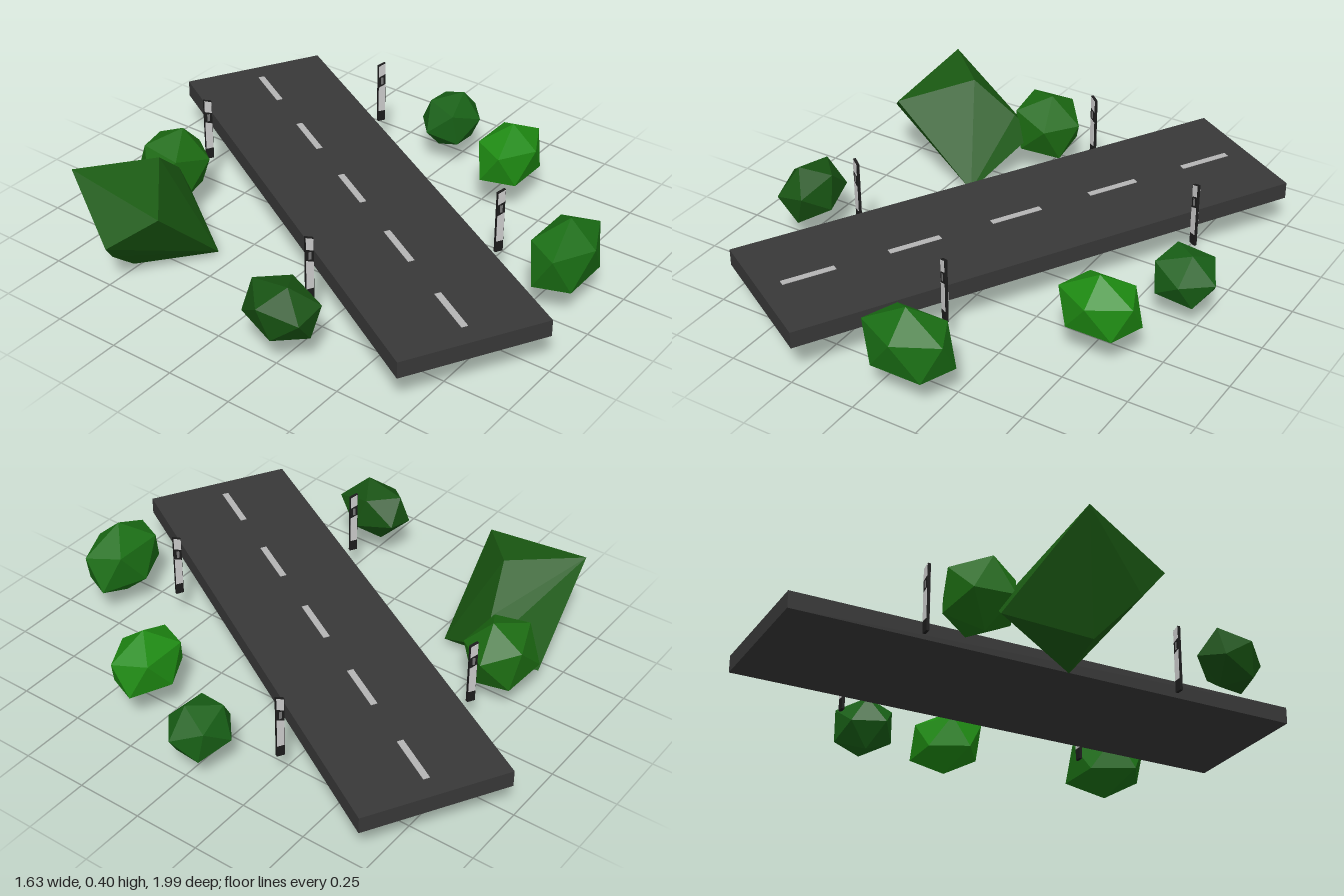
import * as THREE from 'three';
import { ConvexGeometry } from 'three/addons/geometries/ConvexGeometry.js';

const mat = (color) => new THREE.MeshStandardMaterial({ color, flatShading: true });

function add(parent, name, geometry, material, x = 0, y = 0, z = 0) {
  const mesh = new THREE.Mesh(geometry, material);
  mesh.name = name;
  mesh.position.set(x, y, z);
  parent.add(mesh);
  return mesh;
}

// Low-poly bush: a turned icosahedron stretched to fill the box min..max
function bushGeometry(min, max, yaw, tiltX, tiltZ) {
  const g = new THREE.IcosahedronGeometry(1, 0);
  g.rotateZ(Math.PI / 2 - Math.atan((1 + Math.sqrt(5)) / 2)); // one corner straight up
  g.rotateY(yaw).rotateX(tiltX).rotateZ(tiltZ);
  g.computeBoundingBox();
  const size = g.boundingBox.getSize(new THREE.Vector3());
  g.center();
  g.scale(...[0, 1, 2].map((i) => (max[i] - min[i]) / size.getComponent(i)));
  g.translate(...[0, 1, 2].map((i) => (max[i] + min[i]) / 2));
  g.computeVertexNormals();
  return g;
}

// Upright slab between y0 and y1; the top and bottom edges slope up towards +x
function slab(width, depth, y0, y1, slope0 = 0, slope1 = 0) {
  const w = width / 2;
  const s = new THREE.Shape();
  s.moveTo(-w, y0 - slope0);
  s.lineTo(w, y0 + slope0);
  s.lineTo(w, y1 + slope1);
  s.lineTo(-w, y1 - slope1);
  s.closePath();
  return new THREE.ExtrudeGeometry(s, { depth, bevelEnabled: false }).translate(0, 0, -depth / 2);
}

export function createModel() {
  const model = new THREE.Group();
  const black = mat(0x1c1c1c);
  const white = mat(0xdddddd);
  const grey = mat(0x777777);

  // Road slab with its centre line, turned across the scene
  const road = new THREE.Group();
  road.name = 'road';
  road.position.set(0.01, 0, 0);
  road.rotation.y = -Math.PI / 6;
  model.add(road);
  add(road, 'roadSlab', new THREE.BoxGeometry(0.556, 0.064, 1.98), mat(0x383838), 0, 0.177, 0);
  const paint = mat(0xb4b4b4);
  for (let i = -2; i <= 2; i++) {
    add(road, 'laneDash', new THREE.BoxGeometry(0.024, 0.004, 0.2), paint, 0, 0.209, i * 0.404);
  }

  // Roadside marker posts, taller on the side away from the road
  for (const side of [-1, 1]) {
    for (const z of [-0.531, 0.463]) {
      const post = new THREE.Group();
      post.name = 'markerPost';
      post.position.set(side * 0.357, 0, z);
      if (side < 0) post.rotation.y = Math.PI;
      add(post, 'postCore', slab(0.03, 0.011, 0.13, 0.378, 0, 0.005), black);
      add(post, 'postLower', slab(0.027, 0.014, 0.175, 0.285, 0, 0.005), white);
      add(post, 'postBand', slab(0.027, 0.013, 0.285, 0.33, 0.005, 0.005), black);
      add(post, 'postReflector', slab(0.01, 0.015, 0.293, 0.322), grey);
      add(post, 'postUpper', slab(0.027, 0.014, 0.33, 0.376, 0.005, 0.005), white);
      road.add(post);
    }
  }

  // Large lopsided bush: a hull of five opposite pairs of corners
  const corners = [
    [-0.28, 0.015, 0.066], [0.063, 0.2, 0.02], [-0.155, 0.18, -0.195],
    [0.165, -0.13, -0.212], [0.215, 0.065, -0.03],
  ].flatMap((p) => [new THREE.Vector3(...p), new THREE.Vector3(...p).negate()]);
  add(model, 'largeBush', new ConvexGeometry(corners), mat(0x1a5a12), -0.54, 0.205, -0.5);

  // Smaller bushes: min corner, max corner, yaw, tilts, colour
  const turn = Math.PI / 10;
  const bushes = [
    ['backBush', [-0.385, 0.065, -0.755], [-0.095, 0.35, -0.51], 0.7, 0.15, -0.25, 0x1c6b12],
    ['leftRoadBush', [-0.82, 0.1, 0.12], [-0.615, 0.325, 0.38], 0.9, 0.3, 0.2, 0x175212],
    ['brightBush', [0.405, 0.08, 0.222], [0.69, 0.345, 0.445], turn, 0.08, 0, 0x1e8a12],
    ['sideBush', [0.555, 0.075, -0.13], [0.815, 0.29, 0.095], 0.5, 0.25, -0.3, 0x186016],
    ['frontBush', [-0.045, 0.055, 0.72], [0.275, 0.355, 0.945], turn, 0.08, 0, 0x1a6e14],
  ];
  for (const [name, min, max, yaw, tx, tz, color] of bushes) {
    add(model, name, bushGeometry(min, max, yaw, tx, tz), mat(color));
  }
  return model;
}
